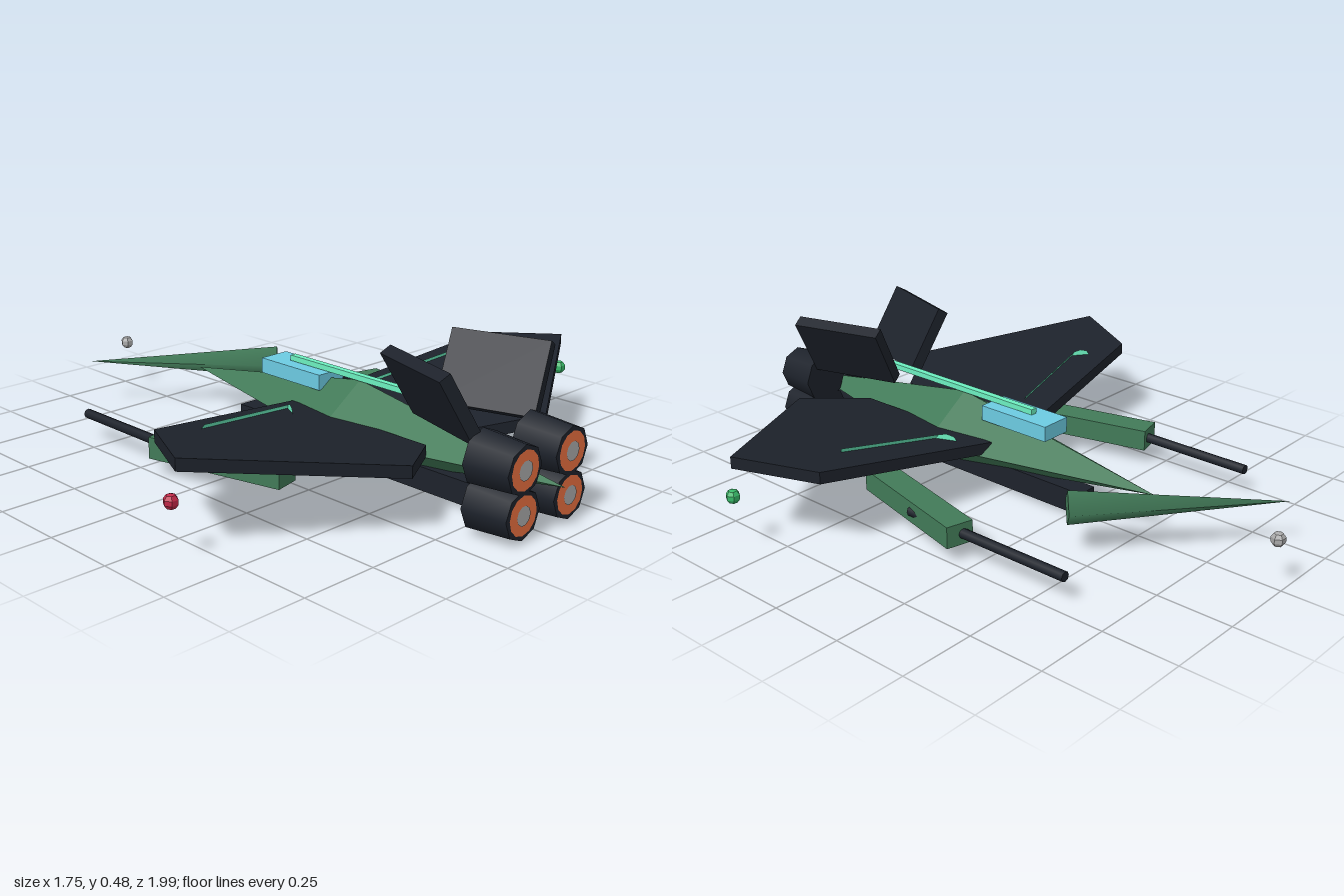
import * as THREE from 'three';

const paint = (color, flatShading = true) => new THREE.MeshStandardMaterial({ color, flatShading });
const dark = paint(0x1d222b), green = paint(0x427a58), mint = paint(0x6cf0c0), blue = paint(0x6ccbe2);
const darkSmooth = paint(0x1d222b, false), greenSmooth = paint(0x427a58, false), mintSmooth = paint(0x6cf0c0, false);
const orange = paint(0xe87040), grey = paint(0xaaaaaa), red = paint(0xc02848), lampGreen = paint(0x38b868);

function add(parent, name, geometry, material, x = 0, y = 0, z = 0) {
  const mesh = new THREE.Mesh(geometry, material);
  mesh.name = name;
  mesh.position.set(x, y, z);
  parent.add(mesh);
  return mesh;
}
const box = (w, h, d) => new THREE.BoxGeometry(w, h, d);
const lamp = () => new THREE.SphereGeometry(0.023, 6, 5);

// Height of the wing's lower face: it rises outward
const wingY = x => 0.142 + 0.138 * x;

function wingGeometry() {
  const outline = [[0.095, 0.016], [0.72, 0.116], [0.845, 0.365], [0.3, 0.705], [0.095, 0.575]];
  const shape = new THREE.Shape(outline.map(([x, z]) => new THREE.Vector2(x, -z)));
  const g = new THREE.ExtrudeGeometry(shape, { depth: 0.038, bevelEnabled: false }).rotateX(-Math.PI / 2);
  const p = g.attributes.position;
  for (let i = 0; i < p.count; i++) p.setY(i, p.getY(i) + wingY(p.getX(i)));
  g.computeVertexNormals();
  return g;
}

// Rounded bar with slanted ends, lying on the wing
function wingStripGeometry() {
  const g = new THREE.CylinderGeometry(1, 1, 1, 8);
  const p = g.attributes.position;
  const mix = THREE.MathUtils.lerp;
  for (let i = 0; i < p.count; i++) {
    const t = p.getY(i) + 0.5, across = p.getZ(i), up = p.getX(i);
    const x = mix(0.198, 0.572, t) + across * mix(0.0175, -0.02, t);
    const z = mix(0.115, 0.19, t) + across * mix(0.03, 0.023, t);
    p.setXYZ(i, x, wingY(x) + 0.038 + up * 0.02, z);
  }
  g.computeVertexNormals();
  return g;
}

function engine(parent, name, x, y) {
  const g = new THREE.Group();
  g.name = name;
  g.position.set(x, y, 0.862);
  const turn = r => r.rotateX(Math.PI / 2);
  add(g, 'engineHousing', turn(new THREE.CylinderGeometry(0.075, 0.086, 0.148, 8)), darkSmooth);
  add(g, 'exhaustGlow', new THREE.CircleGeometry(0.06, 12), orange, 0, 0, 0.0755);
  add(g, 'exhaustCore', new THREE.CircleGeometry(0.03, 10), grey, 0, 0, 0.0775);
  parent.add(g);
}

// Everything that exists once per side, built on +x
function buildSide(name) {
  const side = new THREE.Group();
  side.name = name;
  add(side, 'wing', wingGeometry(), dark);
  add(side, 'wingStrip', wingStripGeometry(), mintSmooth);

  const fin = add(side, 'tailFin', box(0.04, 0.23, 0.31), dark, 0.142, 0.37, 0.627);
  fin.rotation.set(0, 0.29, -Math.PI / 6, 'YXZ');

  const pod = add(side, 'gunPod', box(0.09, 0.07, 0.48), green, 0.412, 0.088, 0.035);
  pod.rotation.y = -0.24;
  add(side, 'gunBarrel', new THREE.CylinderGeometry(0.016, 0.016, 0.605, 8).rotateX(Math.PI / 2),
    darkSmooth, 0.457, 0.088, -0.283);

  engine(side, 'upperEngine', 0.107, 0.22);
  engine(side, 'lowerEngine', 0.107, 0.088);
  return side;
}

export function createModel() {
  const model = new THREE.Group();
  model.name = 'spaceFighter';

  // Fuselage: a long stretched octahedron
  const hull = new THREE.OctahedronGeometry(1, 0).scale(0.19, 0.13, 0.775);
  add(model, 'fuselage', hull, green, 0, 0.157, 0.22);
  add(model, 'keel', box(0.07, 0.075, 1.08), dark, 0, 0.0525, 0.24);
  add(model, 'canopy', box(0.107, 0.05, 0.265), blue, 0, 0.26, -0.038);
  add(model, 'spineStrip', box(0.022, 0.018, 0.71), mint, 0, 0.296, 0.275);

  // Detached spike ahead of the nose, lying diagonally
  const spike = new THREE.ConeGeometry(0.057, 0.662, 4);
  spike.rotateX(-Math.PI / 2).rotateY(Math.PI / 4);
  add(model, 'noseSpike', spike, greenSmooth, 0.001, 0.157, -0.644);

  // Mirrored sides
  const left = buildSide('leftSide');
  const right = buildSide('rightSide');
  right.scale.x = -1;
  model.add(left, right);

  // Marker lamps
  add(model, 'leftLamp', lamp(), lampGreen, 0.855, 0.175, 0.355);
  add(model, 'rightLamp', lamp(), red, -0.855, 0.175, 0.355);
  add(model, 'noseLamp', lamp(), grey, 0, 0.16, -0.978);
  return model;
}
